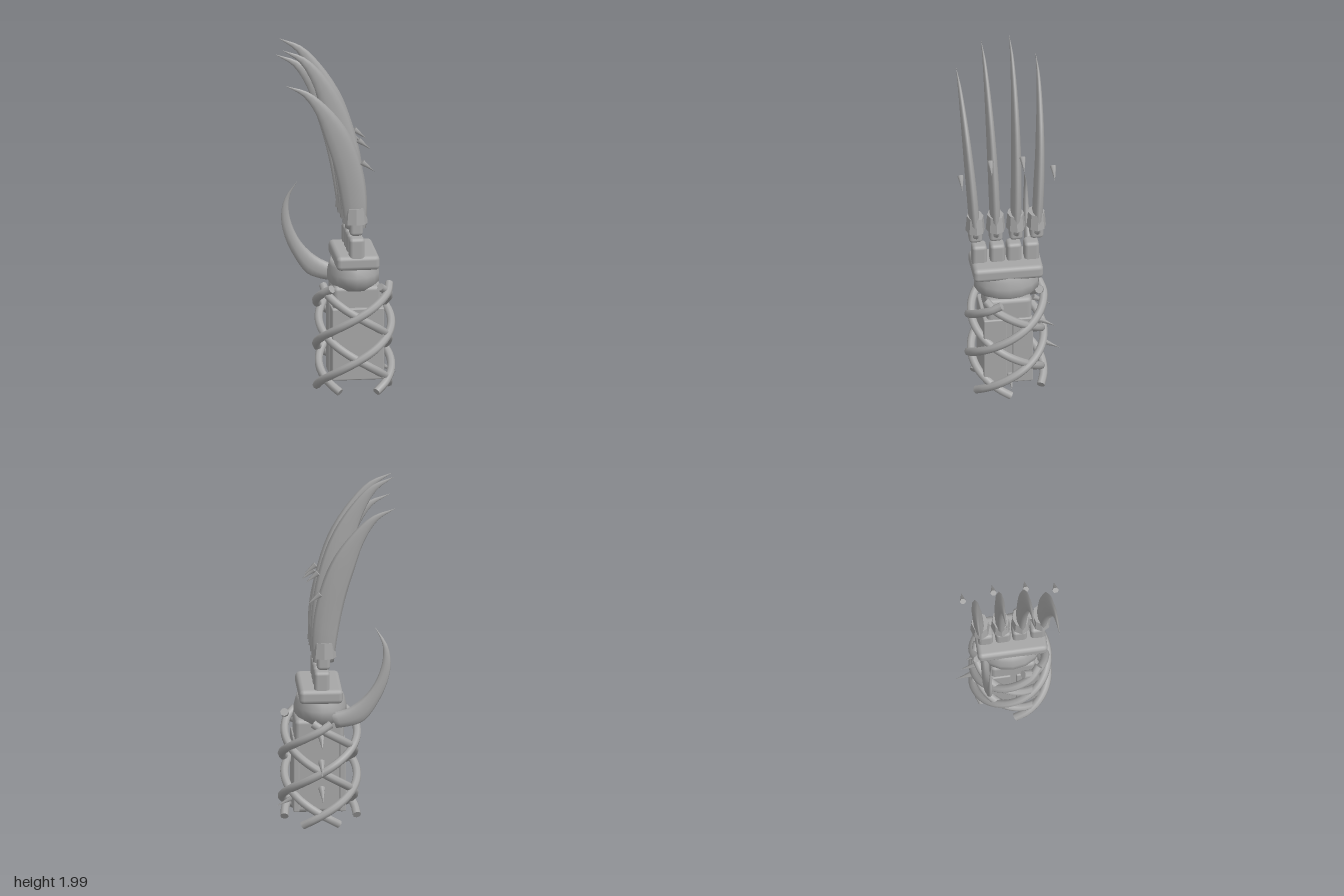
import * as THREE from 'three';
import { RoundedBoxGeometry } from 'three/addons/geometries/RoundedBoxGeometry.js';

const grey = new THREE.MeshStandardMaterial({ color: 0xa6a6a6 });
grey.name = 'grey';
const CX = 0.083, CZ = 0.015; // forearm axis

function add(parent, name, geometry, x = 0, y = 0, z = 0) {
  const mesh = new THREE.Mesh(geometry, grey);
  mesh.name = name;
  mesh.position.set(x, y, z);
  parent.add(mesh);
  return mesh;
}

function block(parent, name, x0, x1, y0, y1, z0, z1, r = 0.015) {
  return add(parent, name, new RoundedBoxGeometry(x1 - x0, y1 - y0, z1 - z0, 2, r),
    (x0 + x1) / 2, (y0 + y1) / 2, (z0 + z1) / 2);
}

// Curved blade: rows are [right x, right y, left x, left y, z, half thickness]
function bladeGeometry(rows, sides = 10) {
  const curve = k => new THREE.CatmullRomCurve3(rows.map(r => new THREE.Vector3(r[k], r[k + 1], r[4])));
  const right = curve(0), left = curve(2);
  const steps = (rows.length - 1) * 3, pos = [], index = [];
  for (let i = 0; i <= steps; i++) {
    const t = i / steps, a = right.getPoint(t), b = left.getPoint(t);
    const c = a.clone().add(b).multiplyScalar(0.5), e = a.clone().sub(b).multiplyScalar(0.5);
    const k = Math.min(Math.floor(i / 3), rows.length - 2);
    const h = THREE.MathUtils.lerp(rows[k][5], rows[k + 1][5], i / 3 - k);
    for (let j = 0; j < sides; j++) {
      const q = j / sides * Math.PI * 2;
      pos.push(c.x + e.x * Math.cos(q), c.y + e.y * Math.cos(q), c.z + h * Math.sin(q));
    }
  }
  for (let i = 0; i < steps; i++) for (let j = 0; j < sides; j++) {
    const a = i * sides + j, c = i * sides + (j + 1) % sides;
    index.push(a, a + sides, c, a + sides, c + sides, c);
  }
  for (let j = 1; j < sides - 1; j++) index.push(0, j, j + 1);
  const g = new THREE.BufferGeometry();
  g.setAttribute('position', new THREE.Float32BufferAttribute(pos, 3));
  g.setIndex(index);
  g.computeVertexNormals();
  return g;
}

function spike(parent, name, base, tip, radius) {
  const a = new THREE.Vector3(...base), b = new THREE.Vector3(...tip), d = b.clone().sub(a);
  const m = add(parent, name, new THREE.ConeGeometry(radius, d.length(), 6));
  m.position.copy(a.add(b).multiplyScalar(0.5));
  m.quaternion.setFromUnitVectors(new THREE.Vector3(0, 1, 0), d.normalize());
}

// Rope wound down around the forearm, closed at both ends
function strand(parent, startDeg, direction) {
  const points = [];
  for (let i = 0; i <= 16; i++) {
    const t = i / 16, a = THREE.MathUtils.degToRad(startDeg + direction * 285 * t);
    const r = (t === 0 ? 0.19 : 0.2) + 0.007 * direction;
    points.push(new THREE.Vector3(CX + r * Math.cos(a), 0.615 - 0.585 * t, CZ + r * Math.sin(a)));
  }
  const curve = new THREE.CatmullRomCurve3(points);
  add(parent, 'rope', new THREE.TubeGeometry(curve, 48, 0.023, 8));
  for (const t of [0, 1]) {
    const p = curve.getPoint(t), d = curve.getTangent(t).multiplyScalar(t ? 1 : -1);
    const cap = add(parent, 'ropeEnd', new THREE.CircleGeometry(0.023, 8), p.x, p.y, p.z);
    cap.lookAt(p.clone().add(d));
  }
}

export function createModel() {
  const model = new THREE.Group();
  model.name = 'clawGauntlet';

  // Forearm core with plates
  block(model, 'forearm', -0.045, 0.225, 0.085, 0.62, -0.11, 0.14, 0.025);
  for (const [z0, z1] of [[-0.115, 0.0], [0.03, 0.16]]) {
    block(model, 'forearmSidePlate', 0.2, 0.235, 0.09, 0.5, z0, z1, 0.008);
    block(model, 'forearmSidePlate', -0.055, -0.02, 0.09, 0.5, z0, z1, 0.008);
  }
  block(model, 'forearmFrontPlate', -0.04, 0.22, 0.09, 0.5, 0.12, 0.16, 0.008);

  // Wrist cup and hand plate
  const wristProfile = [[0.001, 0.57], [0.78, 0.595], [1, 0.635], [1, 0.68], [0.93, 0.72], [0.85, 0.75], [0.001, 0.75]];
  const wrist = add(model, 'wrist',
    new THREE.LatheGeometry(wristProfile.map(p => new THREE.Vector2(...p)), 16), 0.08, 0, 0.012);
  wrist.scale.set(0.145, 1, 0.18);
  block(model, 'handPlate', -0.035, 0.205, 0.728, 0.81, -0.178, 0.21, 0.025);

  // Four fingers: [lower joint z, upper joint z, tip z, tip y]
  const fingers = [
    [0.165, 0.185, 0.234, 1.81], [0.065, 0.072, 0.095, 1.975],
    [-0.028, -0.04, -0.06, 2.0], [-0.125, -0.155, -0.208, 1.865],
  ];
  // Claw edges as [outer x, outer height, inner x, inner height, half thickness]
  const clawRows = [
    [0.13, 0, 0.015, 0, 0.024], [0.135, 0.16, 0, 0.13, 0.029], [0.12, 0.34, -0.025, 0.3, 0.028],
    [0.075, 0.54, -0.055, 0.45, 0.025], [0.01, 0.7, -0.1, 0.62, 0.021],
    [-0.1, 0.86, -0.15, 0.79, 0.015], [-0.2, 0.955, -0.225, 0.925, 0.009], [-0.32, 1, -0.32, 0.998, 0.0005],
  ];
  for (const [zLow, zUp, zTip, yTip] of fingers) {
    const finger = new THREE.Group();
    finger.name = 'finger';
    model.add(finger);
    block(finger, 'lowerJoint', 0.037, 0.122, 0.76, 0.912, zLow - 0.041, zLow + 0.041, 0.02);
    block(finger, 'upperJoint', 0.037, 0.11, 0.93, 1.02, zUp - 0.037, zUp + 0.037, 0.02);
    const cuff = add(finger, 'cuff',
      new THREE.CylinderGeometry(0.85, 1, 0.09, 8).toNonIndexed(), 0.07, 1.043, zUp);
    cuff.geometry.computeVertexNormals();
    cuff.scale.set(0.069, 1, 0.054);
    const span = yTip - 0.97;
    add(finger, 'claw', bladeGeometry(clawRows.map(([ox, oy, ix, iy, h]) => [
      ox, 0.97 + oy * span, ix, 0.97 + iy * span, THREE.MathUtils.lerp(zUp, zTip, oy), h])));
  }

  // Thumb claw
  add(model, 'thumbClaw', bladeGeometry([
    [0.03, 0.67, 0, 0.58, -0.135, 0.025], [-0.05, 0.69, -0.085, 0.595, -0.142, 0.024],
    [-0.14, 0.75, -0.155, 0.625, -0.146, 0.022], [-0.21, 0.84, -0.225, 0.72, -0.147, 0.02],
    [-0.25, 0.945, -0.28, 0.84, -0.147, 0.016], [-0.258, 1.03, -0.3, 0.955, -0.146, 0.012],
    [-0.247, 1.085, -0.28, 1.06, -0.143, 0.007], [-0.213, 1.156, -0.215, 1.156, -0.13, 0.0005]]));

  // Criss-cross ropes: three strands wound each way
  for (const turn of [0, 120, 240]) {
    strand(model, 15 + turn, 1);
    strand(model, 165 - turn, -1);
  }

  // Small spikes beside the claws
  for (const [y, z] of [[1.37, 0.27], [1.45, 0.105], [1.46, -0.075], [1.39, -0.245]]) {
    spike(model, 'clawSpike', [0.097, y, z], [0.165, y - 0.055, z], 0.018);
  }
  // Spikes down the back and left of the forearm
  for (const [y, reach] of [[0.5, 0.235], [0.355, 0.26], [0.21, 0.285]]) {
    spike(model, 'backSpike', [CX, y + 0.04, -reach + 0.1], [CX, y - 0.015, -reach], 0.02);
  }
  spike(model, 'sideSpike', [0.225, 0.14, CZ], [0.318, 0.09, CZ], 0.018);
  return model;
}
